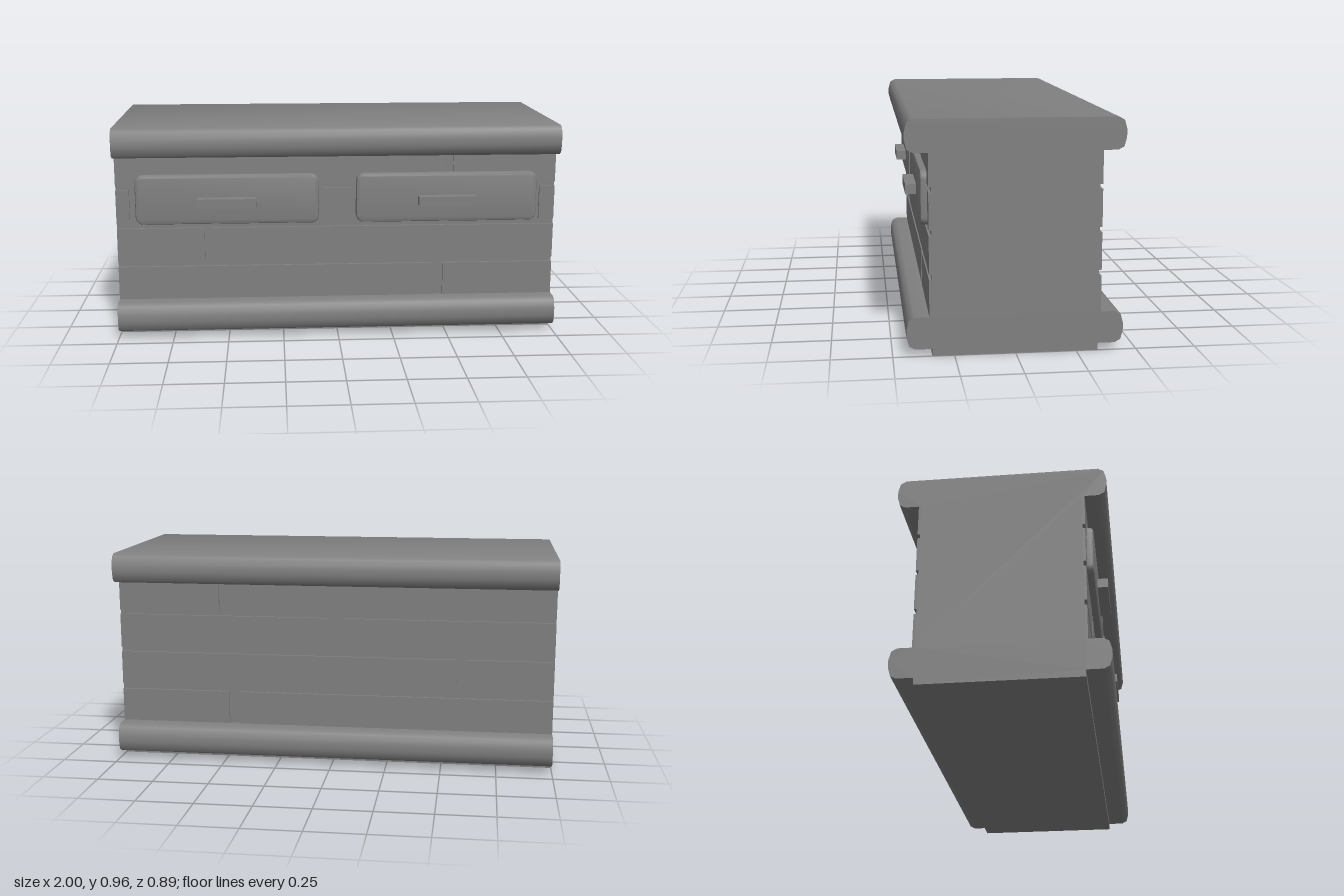
import * as THREE from 'three';
import { toCreasedNormals } from 'three/addons/utils/BufferGeometryUtils.js';

export function createModel() {
  const group = new THREE.Group();
  const grey = new THREE.MeshStandardMaterial({ color: 0x808080 });
  grey.name = 'grey';

  const add = (name, geometry, x = 0, y = 0, z = 0) => {
    const mesh = new THREE.Mesh(geometry, grey);
    mesh.name = name;
    mesh.position.set(x, y, z);
    group.add(mesh);
  };

  // Carcass: one cross-section with rounded top and base mouldings, run along x
  const moulding = (y0, y1) => [
    [0.34, y0], [0.41, y0], [0.434, y0 + 0.013], [0.444, y0 + 0.05],
    [0.444, y1 - 0.05], [0.434, y1 - 0.013], [0.41, y1],
  ];
  const half = [[0.34, 0], ...moulding(0.03, 0.163), [0.34, 0.163], ...moulding(0.83, 0.963)];
  const outline = [...half, ...half.map(([z, y]) => [-z, y]).reverse()];
  const section = new THREE.Shape(outline.map(([z, y]) => new THREE.Vector2(z, y)));
  const carcass = new THREE.ExtrudeGeometry(section, { depth: 2, bevelEnabled: false });
  carcass.translate(0, 0, -1).rotateY(Math.PI / 2);
  add('carcass', toCreasedNormals(carcass, Math.PI / 3));

  // Staggered planks, raised slightly so grooves show between them
  const rows = [
    { y: [0.163, 0.315], front: [[-1, 0.443], [0.49, 1]] },
    { y: [0.338, 0.495], front: [[-1, -0.605], [-0.565, 1]] },
    { y: [0.517, 0.673], front: [[-1, -0.94], [-0.065, 0.06], [0.93, 1]], back: [[-1, -0.03], [0.02, 1]] },
    { y: [0.692, 0.83], front: [[-1, 0.487], [0.53, 1]] },
  ];
  const plank = (name, [x0, x1], [y0, y1], side) =>
    add(name, new THREE.BoxGeometry(x1 - x0, y1 - y0, 0.012), (x0 + x1) / 2, (y0 + y1) / 2, side * 0.345);
  for (const { y, front, back = front } of rows) {
    front.forEach((span) => plank('frontPlank', span, y, 1));
    back.forEach((span) => plank('backPlank', span, y, -1));
  }

  // Drawer front: rounded rectangle with a bevelled face
  const w = 0.4, h = 0.1, r = 0.022;
  const face = new THREE.Shape();
  face.moveTo(-w + r, -h).lineTo(w - r, -h);
  face.absarc(w - r, -h + r, r, -Math.PI / 2, 0);
  face.absarc(w - r, h - r, r, 0, Math.PI / 2);
  face.absarc(-w + r, h - r, r, Math.PI / 2, Math.PI);
  face.absarc(-w + r, -h + r, r, Math.PI, Math.PI * 1.5);
  const drawer = toCreasedNormals(new THREE.ExtrudeGeometry(face, {
    depth: 0.025, curveSegments: 4, bevelSize: 0.013, bevelThickness: 0.012, bevelSegments: 2,
  }), 0.6);

  // A pair of drawers with bar handles
  for (const [side, name] of [[-1, 'right'], [1, 'left']]) {
    add(name + 'Drawer', drawer, side * 0.498, 0.631, 0.342);
    add(name + 'Handle', new THREE.BoxGeometry(0.265, 0.043, 0.05), side * 0.498, 0.621, 0.401);
  }
  return group;
}
